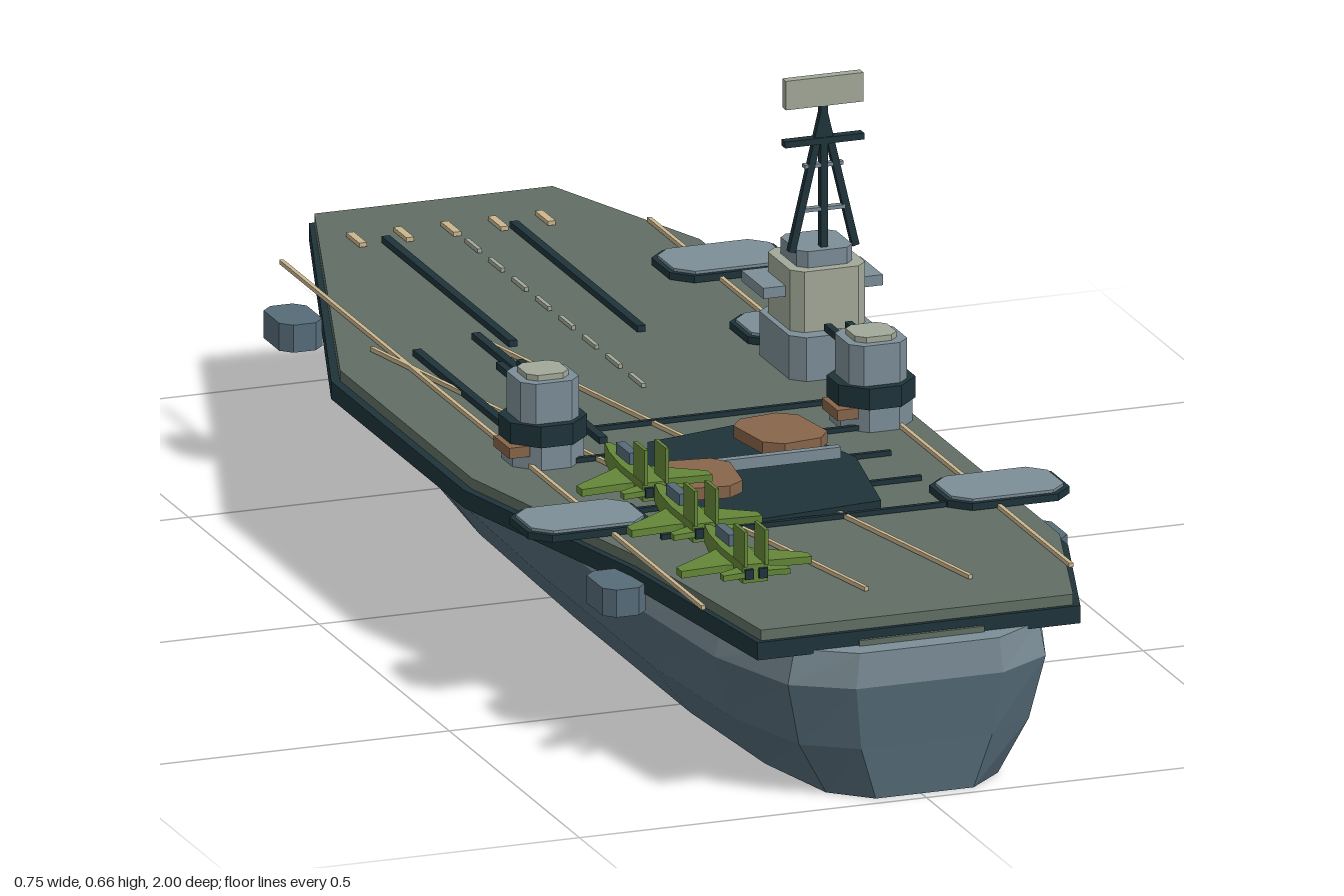
import * as THREE from 'three';

const mat = (name, color) => Object.assign(new THREE.MeshStandardMaterial({ color, flatShading: true }), { name });
const M = {
  hull: mat('hull blue grey', 0x566c79),
  inner: mat('inner olive brown', 0x646152),
  dark: mat('dark slate', 0x1e333a),
  deck: mat('deck green grey', 0x616e64),
  grey: mat('light grey', 0x7c8e97),
  pale: mat('pale stone', 0xa2a999),
  tan: mat('marking tan', 0xcbb78f),
  brown: mat('rust brown', 0x88654a),
  jet: mat('jet green', 0x648739),
};
M.hull.side = THREE.DoubleSide; // the hull is an open shell below

function add(parent, name, geo, material, x = 0, y = 0, z = 0) {
  const m = new THREE.Mesh(geo, material);
  m.name = name;
  m.position.set(x, y, z);
  parent.add(m);
  return m;
}
const box = (p, name, m, w, h, d, x, y, z) => add(p, name, new THREE.BoxGeometry(w, h, d), m, x, y, z);

// Horizontal plate from [x, z] corners between two heights
function plate(p, name, m, pts, y0, y1, x = 0, z = 0) {
  const s = new THREE.Shape(pts.map(([a, b]) => new THREE.Vector2(a, -b)));
  const g = new THREE.ExtrudeGeometry(s, { depth: y1 - y0, bevelEnabled: false }).rotateX(-Math.PI / 2);
  return add(p, name, g, m, x, y0, z);
}
// Rectangle with cut corners
const cut = (w, d, c) => {
  const a = w / 2, b = d / 2;
  return [[a, b - c], [a, c - b], [a - c, -b], [c - a, -b], [-a, c - b], [-a, b - c], [c - a, b], [a - c, b]];
};
// Upright bar joining two points
function bar(p, name, m, a, b, t) {
  const A = new THREE.Vector3(...a), B = new THREE.Vector3(...b);
  const o = box(p, name, m, t, A.distanceTo(B), t, 0, 0, 0);
  o.position.copy(A).lerp(B, 0.5);
  o.quaternion.setFromUnitVectors(new THREE.Vector3(0, 1, 0), B.sub(A).normalize());
}
// Flat painted line on the deck
function line(p, name, m, x0, z0, x1, z1, w, h = 0.006) {
  const o = box(p, name, m, w, h, Math.hypot(x1 - x0, z1 - z0), (x0 + x1) / 2, 0.251 + h / 2, (z0 + z1) / 2);
  o.rotation.y = Math.atan2(x1 - x0, z1 - z0);
}

function buildHull(root) {
  // Stations [z, share of half width] and levels [y, half width, length]
  const st = [[1, 0.41], [0.95, 0.72], [0.8, 0.91], [0.55, 1], [0.1, 1], [-0.3, 0.95], [-0.6, 0.78], [-0.8, 0.52], [-0.93, 0.24], [-1, 0.02]];
  const levels = [[0, 0.172, 0.98], [0.075, 0.23, 0.988], [0.165, 0.258, 1], [0.215, 0.245, 1]];
  const rings = levels.map(([y, w, l]) => {
    const r = st.map(([z, f]) => [f * w, y, z * l]);
    return r.concat(r.slice().reverse().map(([x, b, z]) => [-x, b, z]));
  });
  const n = st.length * 2, side = [], band = [], inner = [];
  for (let k = 0; k < n; k++) {
    const j = (k + 1) % n;
    for (let l = 0; l < 3; l++) {
      const a = rings[l][k], b = rings[l][j], c = rings[l + 1][j], d = rings[l + 1][k];
      (l < 2 ? side : band).push(...a, ...b, ...c, ...a, ...c, ...d);
    }
    band.push(0, 0.215, 0, ...rings[3][k], ...rings[3][j]);
    inner.push(0, 0.165, 0, ...rings[2][j], ...rings[2][k]);
  }
  const geo = (v) => {
    const g = new THREE.BufferGeometry();
    g.setAttribute('position', new THREE.Float32BufferAttribute(v, 3));
    g.computeVertexNormals();
    return g;
  };
  add(root, 'hullShell', geo(side), M.hull, 0.005);
  add(root, 'hullTopBand', geo(band), M.grey, 0.005);
  add(root, 'innerFloor', geo(inner), M.inner, 0.005);
}

function buildDeck(root) {
  const edge = [[-0.23, 0.965], [0.235, 0.965], [0.313, 0.71], [0.313, -0.68], [0.205, -0.97], [-0.15, -0.97], [-0.366, -0.31], [-0.366, 0.2], [-0.275, 0.6]];
  plate(root, 'deckRim', M.dark, edge, 0.21, 0.235);
  plate(root, 'flightDeck', M.deck, edge.map(([x, z]) => [x * 0.967, z * 0.993]), 0.235, 0.25);
  box(root, 'sternSill', M.deck, 0.18, 0.008, 0.03, 0.005, 0.219, 0.955);

  // Side platforms below the deck
  for (const s of [-1, 1]) for (const z of [0.605, -0.045, -0.635])
    plate(root, 'sponson', M.hull, cut(0.062, 0.09, 0.015), 0.185, 0.224, 0.005 + s * 0.304, z);

  // Aircraft lifts
  for (const [x, z] of [[0.288, -0.553], [0.288, -0.253], [0.288, 0.513], [-0.291, 0.445]]) {
    plate(root, 'liftRim', M.dark, cut(0.176, 0.122, 0.026), 0.252, 0.262, x, z);
    plate(root, 'liftTop', M.grey, cut(0.162, 0.108, 0.023), 0.262, 0.266, x, z);
  }

  // Catapult tracks and arresting wires
  for (const [x, a, b] of [[-0.1, -0.81, -0.32], [0.085, -0.81, -0.32], [-0.235, -0.33, 0.13], [-0.135, -0.37, 0.12]])
    line(root, 'catapultTrack', M.dark, x, a, x, b, 0.012, 0.009);
  for (const z of [0.065, 0.185, 0.303, 0.42, 0.54])
    line(root, 'arrestingWire', M.dark, -0.21, z, 0.21, z, 0.007, 0.007);

  // Painted lines
  for (let i = -2; i <= 2; i++) line(root, 'bowMark', M.tan, i * 0.068, -0.85, i * 0.068, -0.8, 0.011);
  for (let i = 0; i < 8; i++) line(root, 'centreDash', M.pale, 0.002, -0.77 + i * 0.09, 0.002, -0.72 + i * 0.09, 0.006);
  line(root, 'angledLine', M.tan, -0.285, -0.37, -0.03, 0.85, 0.006);
  line(root, 'angledLine', M.tan, -0.135, -0.37, 0.12, 0.85, 0.006);
  for (const s of [-1, 1]) line(root, 'edgeLine', M.tan, s * 0.265, -0.77, s * 0.265, 0.85, 0.006);

  // Dark patch with hatch covers and a cross bar
  plate(root, 'darkPatch', M.dark, [[-0.09, 0.17], [0.095, 0.13], [0.15, 0.33], [0.115, 0.52], [-0.07, 0.54], [-0.15, 0.45], [-0.15, 0.32]], 0.25, 0.263);
  for (const [x, z, r] of [[0.075, 0.24, 0.15], [-0.096, 0.387, -0.15]])
    plate(root, 'hatchCover', M.brown, cut(0.1, 0.125, 0.022), 0.268, 0.285, x, z).rotation.y = r;
  box(root, 'crossBar', M.grey, 0.235, 0.016, 0.012, 0.006, 0.276, 0.337);
}

function buildIsland(root) {
  const g = new THREE.Group();
  g.name = 'island';
  g.position.set(0.262, 0, -0.12);
  root.add(g);
  plate(g, 'islandBase', M.grey, cut(0.125, 0.15, 0.018), 0.25, 0.312, 0, 0.005);
  plate(g, 'islandTower', M.pale, cut(0.108, 0.115, 0.015), 0.312, 0.398);
  box(g, 'bridgeWing', M.grey, 0.172, 0.015, 0.085, 0, 0.363, -0.017);
  plate(g, 'bridgeTop', M.grey, cut(0.08, 0.085, 0.012), 0.398, 0.421);
  // Lattice mast with radar panel
  box(g, 'mastPole', M.dark, 0.01, 0.205, 0.012, 0, 0.52, 0.025);
  for (const s of [-1, 1]) bar(g, 'mastLeg', M.dark, [s * 0.046, 0.418, 0.025], [0, 0.612, 0.025], 0.01);
  box(g, 'mastRung', M.grey, 0.06, 0.005, 0.01, 0, 0.475, 0.025);
  box(g, 'mastRung', M.grey, 0.056, 0.005, 0.01, 0, 0.537, 0.025);
  box(g, 'yardarm', M.dark, 0.114, 0.009, 0.014, 0, 0.572, 0.025);
  box(g, 'radarPanel', M.pale, 0.112, 0.041, 0.014, 0, 0.642, 0.025);
}

function buildTurret(root, x) {
  const g = new THREE.Group();
  g.name = 'gunTurret';
  g.position.set(x, 0, 0.148);
  root.add(g);
  const drum = (name, m, r, y0, y1) => add(g, name, new THREE.CylinderGeometry(r, r, y1 - y0, 8).rotateY(Math.PI / 8), m, 0, (y0 + y1) / 2);
  drum('turretFoot', M.grey, 0.056, 0.25, 0.283);
  drum('turretBase', M.dark, 0.06, 0.283, 0.313);
  box(g, 'ammoLocker', M.brown, 0.03, 0.015, 0.06, -0.049, 0.276, 0.012);
  plate(g, 'turretHouse', M.grey, cut(0.084, 0.085, 0.016), 0.313, 0.37);
  plate(g, 'turretRoof', M.pale, cut(0.06, 0.06, 0.012), 0.37, 0.378);
  for (const s of [-1, 1]) box(g, 'gunBarrel', M.dark, 0.01, 0.01, 0.09, s * 0.015, 0.345, -0.082);
}

function buildJet(root, z) {
  const g = new THREE.Group();
  g.name = 'jet';
  g.position.set(-0.196, 0, z);
  root.add(g);
  const half = [[0.018, 0.088], [0.018, 0], [0.012, -0.06], [0.004, -0.097]];
  plate(g, 'fuselage', M.jet, half.concat(half.slice().reverse().map(([a, b]) => [-a, b])), 0.287, 0.313);
  box(g, 'cockpit', M.hull, 0.013, 0.016, 0.052, 0, 0.321, -0.022);
  for (const s of [-1, 1]) {
    const mir = (pts) => pts.map(([a, b]) => [a * s, b]);
    plate(g, 'wing', M.jet, mir([[0, -0.035], [0.03, -0.01], [0.094, 0.035], [0.094, 0.055], [0.03, 0.05], [0, 0.055]]), 0.293, 0.303);
    plate(g, 'tailPlane', M.jet, mir([[0, 0.055], [0.048, 0.08], [0.048, 0.094], [0, 0.088]]), 0.295, 0.303);
    box(g, 'tailFin', M.jet, 0.005, 0.05, 0.042, s * 0.015, 0.336, 0.071);
    box(g, 'exhaust', M.dark, 0.012, 0.014, 0.008, s * 0.01, 0.3, 0.089);
  }
}

export function createModel() {
  const root = new THREE.Group();
  root.name = 'aircraftCarrier';
  buildHull(root);
  buildDeck(root);
  buildIsland(root);
  for (const x of [-0.233, 0.24]) buildTurret(root, x);
  for (const z of [0.395, 0.587, 0.778]) buildJet(root, z);
  return root;
}
